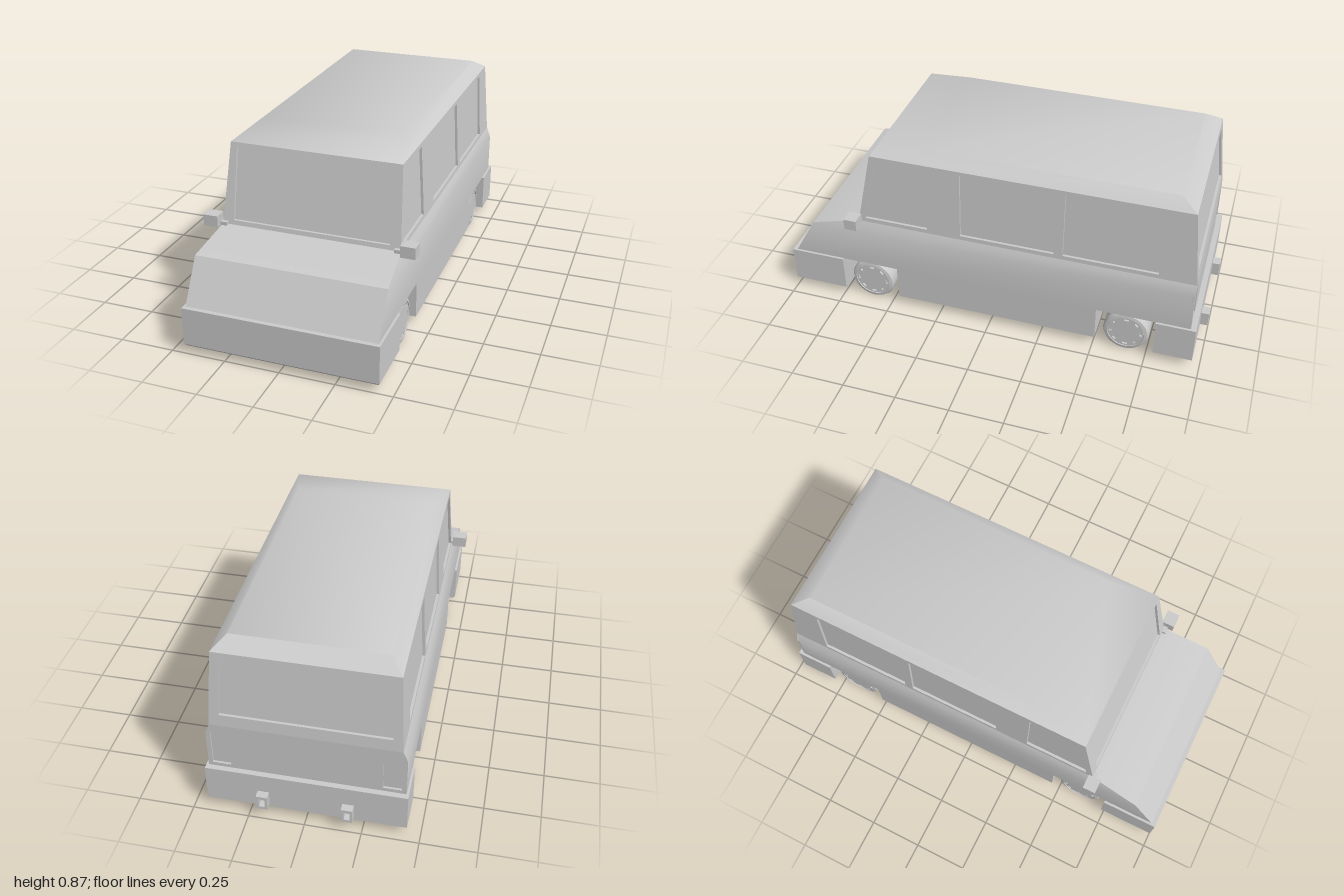
import * as THREE from 'three';
import { toCreasedNormals } from 'three/addons/utils/BufferGeometryUtils.js';

const material = new THREE.MeshStandardMaterial({ color: 0xcccccc, side: THREE.DoubleSide });

function add(parent, name, geometry, x = 0, y = 0, z = 0) {
  const mesh = new THREE.Mesh(geometry, material);
  mesh.name = name;
  mesh.position.set(x, y, z);
  parent.add(mesh);
  return mesh;
}

const box = (w, h, d) => new THREE.BoxGeometry(w, h, d);
const toShape = (points) => new THREE.Shape(points.map(([x, y]) => new THREE.Vector2(x, y)));

// Stacked rectangles: each ring is [y, half width, front z, back z]
function loft(rings, { skipRear = false, top = true, bottom = true, crease = 0.5 } = {}) {
  const pos = [], index = [];
  for (const [y, w, f, b] of rings) pos.push(w, y, f, w, y, b, -w, y, b, -w, y, f);
  for (let r = 0; r < rings.length - 1; r++) {
    for (let i = 0; i < 4; i++) {
      if (skipRear && i === 1) continue;
      const a = r * 4 + i, b = r * 4 + (i + 1) % 4;
      index.push(a, b, b + 4, a, b + 4, a + 4);
    }
  }
  const t = (rings.length - 1) * 4;
  if (top) index.push(t, t + 1, t + 2, t, t + 2, t + 3);
  if (bottom) index.push(0, 2, 1, 0, 3, 2);
  const g = new THREE.BufferGeometry();
  g.setAttribute('position', new THREE.Float32BufferAttribute(pos, 3));
  g.setIndex(index);
  return toCreasedNormals(g, crease);
}

// Wall with recessed panes; place(u, v, w) puts wall coordinates into space
function wall(parent, name, paneName, outline, holes, depth, place) {
  const bend = (g) => {
    const p = g.attributes.position;
    for (let i = 0; i < p.count; i++) p.setXYZ(i, ...place(p.getX(i), p.getY(i), p.getZ(i) - depth));
    g.computeVertexNormals();
    return g;
  };
  const shape = toShape(outline);
  shape.holes = holes.map(toShape);
  add(parent, name, bend(new THREE.ExtrudeGeometry(shape, { depth, bevelEnabled: false })));
  for (const hole of holes) {
    const pane = new THREE.ShapeGeometry(toShape(hole));
    pane.translate(0, 0, depth * 0.2);
    add(parent, paneName, bend(pane));
  }
}

function makeWheel() {
  const wheel = new THREE.Group();
  wheel.name = 'wheel';
  // Tyre profile runs from the inner face to the outer rim, with a tread groove
  const profile = [[0, -0.075], [0.085, -0.075], [0.1, -0.072], [0.107, -0.06], [0.107, -0.02],
    [0.101, -0.017], [0.101, -0.007], [0.107, -0.004], [0.107, 0.06], [0.1, 0.072],
    [0.086, 0.075], [0.084, 0.062], [0, 0.062]].map(([x, y]) => new THREE.Vector2(x, y));
  const tyre = toCreasedNormals(new THREE.LatheGeometry(profile, 40), 0.5);
  add(wheel, 'tyre', tyre.rotateZ(-Math.PI / 2));
  // Hub cap with a ring of small slots
  const cap = new THREE.Shape().absarc(0, 0, 0.084, 0, Math.PI * 2);
  for (let i = 0; i < 8; i++) {
    const a = i * Math.PI / 4, h = 0.16;
    const slot = new THREE.Path();
    slot.absarc(0, 0, 0.076, a - h, a + h, false);
    slot.absarc(0, 0, 0.066, a + h, a - h, true);
    slot.closePath();
    cap.holes.push(slot);
  }
  const hub = new THREE.ExtrudeGeometry(cap, { depth: 0.01, bevelEnabled: false, curveSegments: 20 });
  add(wheel, 'hubCap', hub.translate(0, 0, 0.062).rotateY(Math.PI / 2));
  return wheel;
}

export function createModel() {
  const van = new THREE.Group();
  van.name = 'van';

  // Lower body, notched for the wheels
  const side = [[0.43, 0.98], [0.43, 0.735], [0.25, 0.735], [0.25, 0.46], [0.43, 0.46],
    [0.43, -0.51], [0.25, -0.51], [0.25, -0.785], [0.43, -0.785], [0.43, -0.935]];
  const plan = [...side, ...side.map(([x, z]) => [-x, z]).reverse()].map(([x, z]) => [x, -z]);
  const floor = new THREE.ExtrudeGeometry(toShape(plan), { depth: 0.17, bevelEnabled: false });
  add(van, 'lowerBody', floor.rotateX(-Math.PI / 2).translate(0, 0.05, 0));

  // Nose, bonnet and flanks up to the belt line
  add(van, 'bonnetAndFlanks', loft([
    [0.22, 0.43, 0.98, -0.94], [0.41, 0.43, 0.87, -0.94], [0.46, 0.41, 0.64, -0.94],
  ], { skipRear: true }));

  // Roof with sloping edges
  add(van, 'roof', loft([
    [0.82, 0.39, 0.565, -0.9], [0.865, 0.335, 0.34, -0.825],
  ], { bottom: false, crease: 0.75 }));

  // Cabin walls lean inwards from the belt line to the roof
  const lean = (v, from, to) => from + (to - from) * (v - 0.46) / 0.36;
  const rect = (x0, x1, y0, y1) => [[x0, y0], [x1, y0], [x1, y1], [x0, y1]];
  const cabinEnd = [[-0.41, 0.46], [0.41, 0.46], [0.39, 0.82], [-0.39, 0.82]];
  wall(van, 'windscreenFrame', 'windscreen', cabinEnd, [rect(-0.36, 0.36, 0.48, 0.802)], 0.015,
    (u, v, w) => [u, v, lean(v, 0.64, 0.565) + w]);
  wall(van, 'rearWindowFrame', 'rearWindow', cabinEnd,
    [[[-0.365, 0.515], [0.365, 0.515], [0.35, 0.79], [-0.35, 0.79]]], 0.015,
    (u, v, w) => [-u, v, lean(v, -0.94, -0.9) - w]);
  wall(van, 'tailPanel', 'rearLight',
    [[-0.43, 0.22], [0.43, 0.22], [0.43, 0.41], [0.41, 0.46], [-0.41, 0.46], [-0.43, 0.41]],
    [rect(-0.41, -0.33, 0.24, 0.415), rect(0.33, 0.41, 0.24, 0.415)], 0.012,
    (u, v, w) => [-u, v, -0.94 - w]);

  const sideOutline = [[0.64, 0.46], [-0.94, 0.46], [-0.9, 0.82], [0.565, 0.82]];
  const sideWindows = [
    [[0.605, 0.48], [0.3, 0.48], [0.3, 0.8], [0.54, 0.8]],
    rect(-0.3, 0.14, 0.48, 0.8),
    rect(-0.77, -0.34, 0.48, 0.8),
  ];
  for (const s of [1, -1]) {
    const flip = (points) => points.map(([z, y]) => [-s * z, y]);
    wall(van, 'sideWall', 'sideWindow', flip(sideOutline), sideWindows.map(flip), 0.015,
      (u, v, w) => [s * (lean(v, 0.41, 0.39) + w), v, -s * u]);

    // Wing mirror on a short stem
    add(van, 'mirror', box(0.067, 0.053, 0.06), s * 0.451, 0.481, 0.65);
    add(van, 'mirrorStem', box(0.05, 0.02, 0.02), s * 0.41, 0.463, 0.645);

    // Wheels
    for (const z of [0.6, -0.65]) {
      const wheel = makeWheel();
      wheel.position.set(s * 0.34, 0.107, z);
      if (s < 0) wheel.rotation.y = Math.PI;
      van.add(wheel);
    }

    // Hollow towing lug on the rear bumper
    const lug = toShape(rect(-0.025, 0.025, -0.035, 0.035));
    lug.holes.push(toShape(rect(-0.013, 0.013, -0.022, 0.022)));
    add(van, 'towLug', new THREE.ExtrudeGeometry(lug, { depth: 0.04, bevelEnabled: false }),
      s * 0.186, 0.095, -1);
  }

  // Bumpers with a chamfered lower edge
  add(van, 'frontBumper', loft([
    [0.035, 0.43, 0.99, 0.735], [0.046, 0.441, 1, 0.735], [0.221, 0.441, 1, 0.735],
  ]));
  add(van, 'rearBumper', box(0.882, 0.178, 0.18), 0, 0.133, -0.875);

  return van;
}
